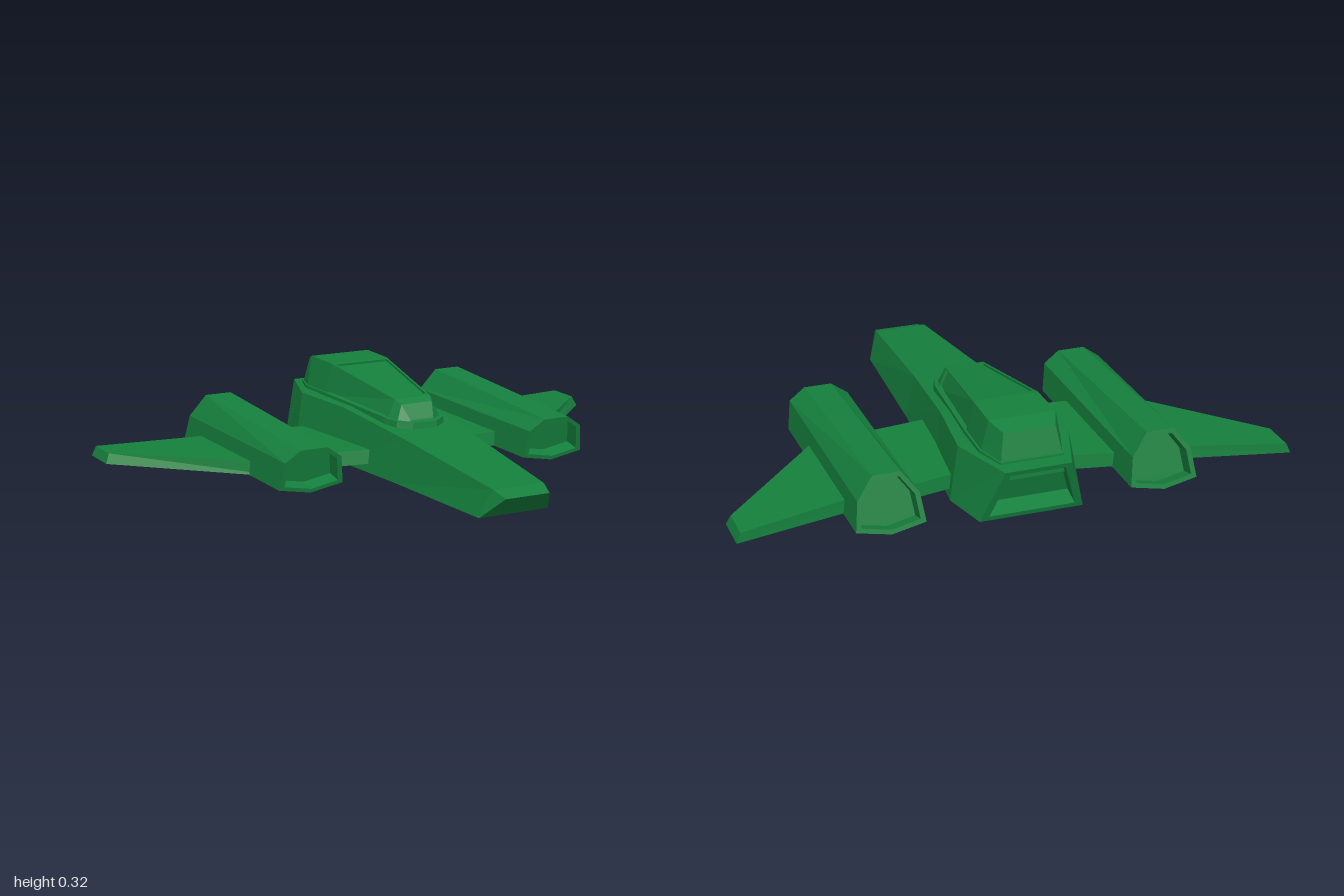
import * as THREE from 'three';

const material = new THREE.MeshStandardMaterial({ color: 0x15803d, flatShading: true });
const V = (x, y, z) => new THREE.Vector3(x, y, z);

// Adds a convex face; with a margin and depth it becomes a rim around a recessed panel.
function addFace(out, poly, { margin = 0, depth = 0 } = {}) {
  const fan = (p) => {
    for (let i = 1; i < p.length - 1; i++) out.push(p[0], p[i], p[i + 1]);
  };
  if (!margin) return fan(poly);
  const n = poly.length;
  const centre = V(0, 0, 0);
  const normal = V(0, 0, 0);
  poly.forEach((p, i) => {
    centre.addScaledVector(p, 1 / n);
    normal.add(p.clone().cross(poly[(i + 1) % n]));
  });
  normal.normalize();
  const rim = poly.map((p) => p.clone().lerp(centre, margin));
  const floor = rim.map((p) => p.clone().addScaledVector(normal, -depth));
  for (let i = 0; i < n; i++) {
    const j = (i + 1) % n;
    fan([poly[i], poly[j], rim[j], rim[i]]);
    fan([rim[i], rim[j], floor[j], floor[i]]);
  }
  fan(floor);
}

// Skins a list of rings; insets are keyed 'ring,side', 'front' or 'back'.
function loft(name, rings, insets = {}) {
  const out = [];
  const n = rings[0].length;
  for (let i = 0; i < rings.length - 1; i++) {
    for (let j = 0; j < n; j++) {
      const k = (j + 1) % n;
      addFace(out, [rings[i][j], rings[i + 1][j], rings[i + 1][k], rings[i][k]], insets[`${i},${j}`]);
    }
  }
  addFace(out, rings[0], insets.front);
  addFace(out, [...rings[rings.length - 1]].reverse(), insets.back);
  const geometry = new THREE.BufferGeometry().setFromPoints(out);
  geometry.computeVertexNormals();
  const mesh = new THREE.Mesh(geometry, material);
  mesh.name = name;
  return mesh;
}

// Trapezoid ring: half width, y, z of the bottom edge, then of the top edge.
const trapezoid = ([wb, yb, zb, wt, yt, zt]) =>
  [V(wb, yb, zb), V(wt, yt, zt), V(-wt, yt, zt), V(-wb, yb, zb)];

// Engine ring: flat-topped arch over a shallow V; z leans between bottom and top.
function engineRing(top, zBottom, zTop) {
  const half = [[0.122, 0.028], [0.108, 0.128], [0.05, top]];
  const points = [[0, 0.005], ...half, ...half.map(([x, y]) => [-x, y]).reverse()];
  return points.map(([x, y]) => V(x, y, zBottom + (zTop - zBottom) * (y / top)));
}

// Wing ring at x: leading and trailing z, top y, and outward lean of the lower edge.
const wingRing = (x, lead, trail, top, lean = 0) => [
  V(x, 0.03, trail - 0.005), V(x - lean, top, trail),
  V(x - lean, top, lead - 0.012), V(x, 0.03, lead),
];

export function createModel() {
  const model = new THREE.Group();
  model.name = 'spacecraft';

  // Long wedge fuselage with a hollow exhaust
  model.add(loft('fuselage', [
    [0.135, 0, 0.68, 0.085, 0.08, 0.77],
    [0.136, 0, 0.67, 0.098, 0.1, 0.71],
    [0.163, 0, 0.15, 0.13, 0.157, 0.15],
    [0.195, 0, -0.25, 0.165, 0.195, -0.25],
    [0.228, 0, -0.53, 0.2, 0.202, -0.53],
    [0.185, 0, -0.71, 0.118, 0.2, -0.77],
  ].map(trapezoid), { back: { margin: 0.17, depth: 0.07 } }));

  // Low plinth below the canopy
  model.add(loft('canopyBase', [
    [0.05, 0.14, 0.068, 0.048, 0.187, 0.062],
    [0.1, 0.14, 0.03, 0.094, 0.191, 0.026],
    [0.118, 0.14, -0.03, 0.113, 0.197, -0.03],
    [0.152, 0.14, -0.45, 0.147, 0.213, -0.45],
    [0.156, 0.14, -0.6, 0.15, 0.213, -0.6],
    [0.115, 0.14, -0.712, 0.112, 0.208, -0.71],
  ].map(trapezoid)));

  // Canopy with recessed side windows and roof pane
  const pane = { margin: 0.09, depth: 0.008 };
  model.add(loft('canopy', [
    [0.05, 0.18, 0.045, 0.047, 0.195, 0.04],
    [0.088, 0.18, 0.015, 0.062, 0.245, 0],
    [0.105, 0.18, -0.03, 0.072, 0.26, -0.03],
    [0.142, 0.2, -0.46, 0.117, 0.32, -0.45],
    [0.146, 0.2, -0.6, 0.12, 0.32, -0.61],
    [0.11, 0.2, -0.705, 0.093, 0.3, -0.68],
  ].map(trapezoid), { '2,0': pane, '2,1': pane, '2,2': pane }));

  for (const side of [1, -1]) {
    const wing = new THREE.Group();
    wing.name = side > 0 ? 'leftWing' : 'rightWing';
    wing.scale.x = side;
    wing.add(
      // Short inner panel and swept outer panel
      loft('innerWing', [
        wingRing(0.49, 0.052, -0.55, 0.08),
        wingRing(0.1, 0.052, -0.475, 0.08),
      ].map((ring, i) => {
        const lead = i ? 0.053 : 0.084; // leading edge swept slightly back
        ring[2].z = -lead - 0.01 + (i ? 0.015 : 0);
        ring[3].z = -lead + (i ? 0.015 : 0);
        return ring;
      })),
      loft('outerWing', [
        wingRing(1, -0.495, -0.635, 0.065, 0.015),
        wingRing(0.49, 0.015, -0.522, 0.08),
      ]),
    );
    // Engine pod, recessed at both ends
    const engine = loft('engine', [
      engineRing(0.168, 0.13, 0.165),
      engineRing(0.205, -0.705, -0.65),
    ], { front: { margin: 0.16, depth: 0.06 }, back: { margin: 0.16, depth: 0.06 } });
    engine.position.x = 0.49;
    wing.add(engine);
    model.add(wing);
  }
  return model;
}
